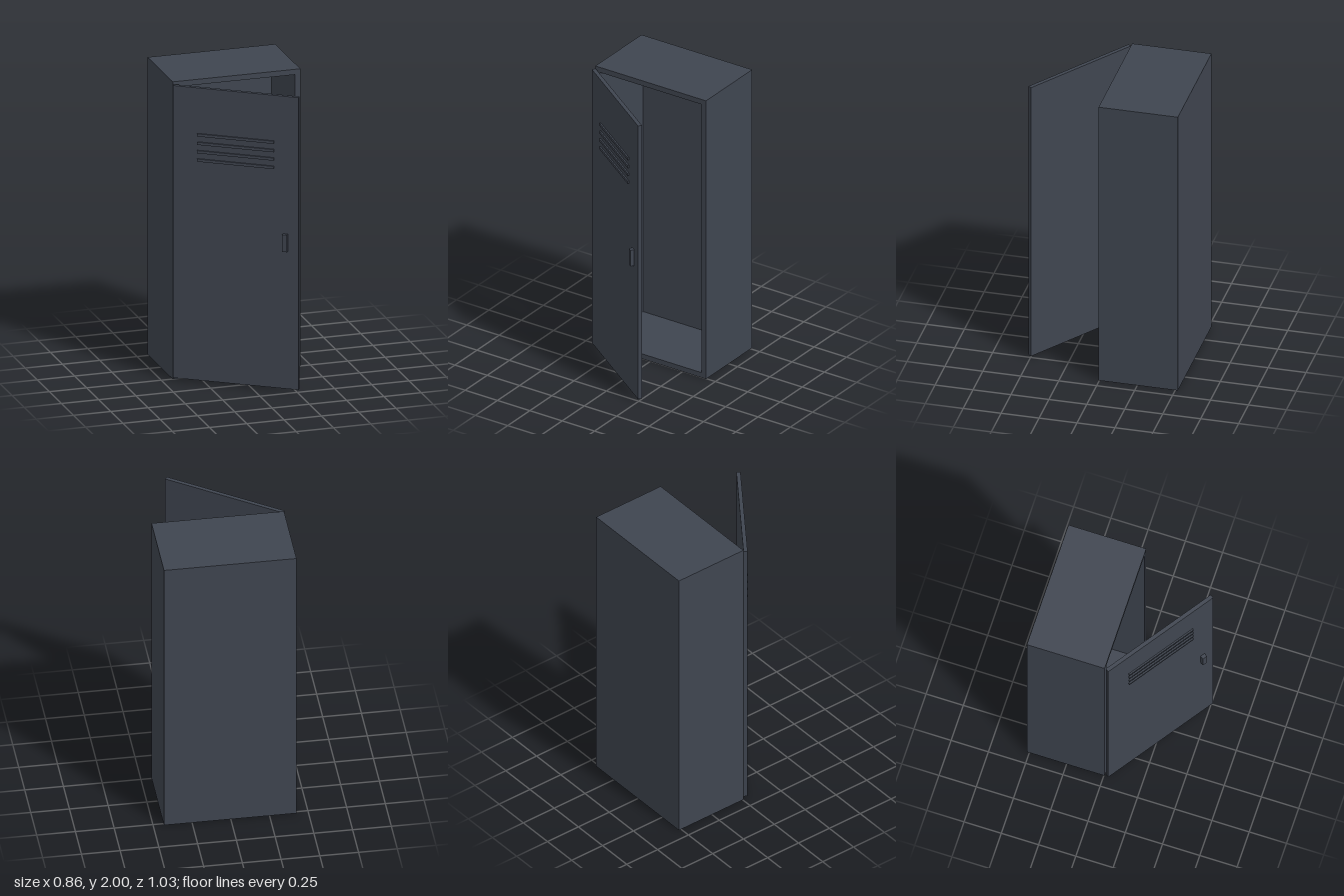
import * as THREE from 'three';

export function createModel() {
  const model = new THREE.Group();
  model.name = 'locker';
  const steel = new THREE.MeshStandardMaterial({ color: 0x3f4550 });
  steel.name = 'dark grey steel';

  const add = (parent, name, geometry, x, y, z) => {
    const mesh = new THREE.Mesh(geometry, steel);
    mesh.name = name;
    mesh.position.set(x, y, z);
    parent.add(mesh);
    return mesh;
  };

  // Cabinet: a hollow tube of four walls, closed by a back panel
  const W = 0.855, H = 2, D = 0.522, T = 0.036;
  const cabinet = new THREE.Group();
  cabinet.name = 'cabinet';
  cabinet.position.set(0.0035, 0, -0.517);
  model.add(cabinet);

  const rect = (Type, x, y) => new Type([
    new THREE.Vector2(-x, -y), new THREE.Vector2(x, -y),
    new THREE.Vector2(x, y), new THREE.Vector2(-x, y),
  ]);
  const outline = rect(THREE.Shape, W / 2, H / 2);
  outline.holes.push(rect(THREE.Path, W / 2 - T, H / 2 - T));
  add(cabinet, 'shell', new THREE.ExtrudeGeometry(outline, { depth: D, bevelEnabled: false }), 0, H / 2, 0);
  add(cabinet, 'backPanel', new THREE.BoxGeometry(W - 2 * T, H - 2 * T, T), 0, H / 2, T / 2);

  // Door: local x runs from the hinge to the free edge, local z outwards
  const doorW = 0.837, doorH = 1.965, doorT = 0.026;
  const door = new THREE.Group();
  door.name = 'door';
  door.position.set(-0.418, 0, 0.011);
  door.rotation.y = -THREE.MathUtils.degToRad(35);
  model.add(door);
  add(door, 'doorPanel', new THREE.BoxGeometry(doorW, doorH, doorT), doorW / 2, 1.0025, doorT / 2);

  // Vent slats
  for (let i = 0; i < 4; i++) {
    add(door, 'ventSlat', new THREE.BoxGeometry(0.51, 0.018, 0.01), doorW / 2, 1.501 + i * 0.0565, doorT + 0.005);
  }

  // Handle
  add(door, 'handle', new THREE.BoxGeometry(0.032, 0.115, 0.025), 0.752, 1.004, doorT + 0.0125);

  return model;
}
